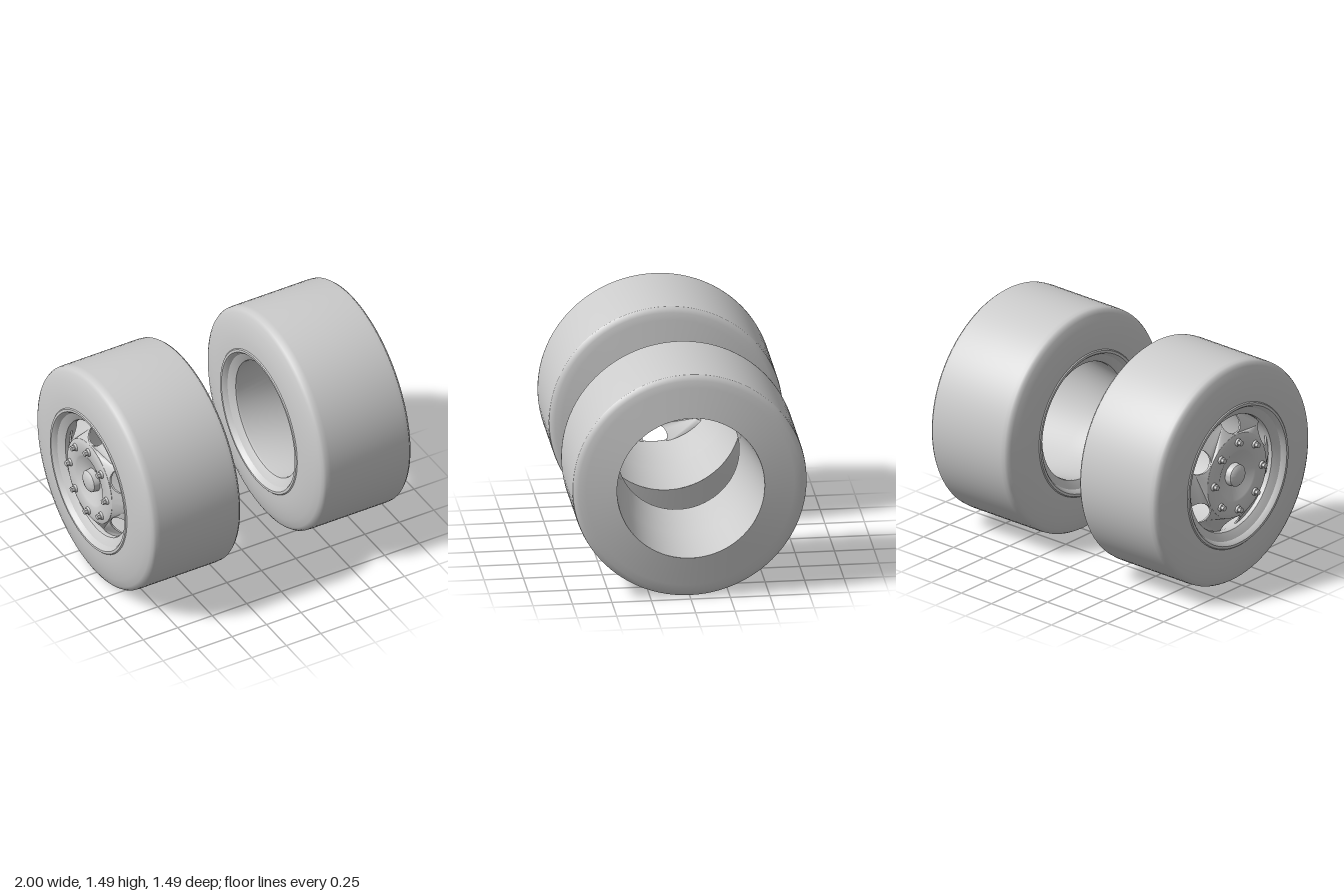
import * as THREE from 'three';
import { toCreasedNormals } from 'three/addons/utils/BufferGeometryUtils.js';

const RADIUS = 0.743;
const grey = new THREE.MeshStandardMaterial({ color: 0xcccccc });
const sheet = new THREE.MeshStandardMaterial({ color: 0xcccccc, side: THREE.DoubleSide });

function add(parent, name, geometry, material = grey) {
  const mesh = new THREE.Mesh(geometry, material);
  mesh.name = name;
  parent.add(mesh);
  return mesh;
}

// Revolves [x, radius] points about the x axis
function spin(points, segments = 72) {
  const g = new THREE.LatheGeometry(points.map(([x, r]) => new THREE.Vector2(r, x)), segments);
  g.rotateZ(-Math.PI / 2);
  return toCreasedNormals(g, 0.55);
}

// Conical ring with six rounded bites along its outer edge
function slottedRing() {
  const inner = 0.28, outer = 0.386, t0 = 1.104, half = 0.187;
  const pts = [];
  for (let k = 0; k < 6; k++) {
    const a = Math.PI / 2 + k * Math.PI / 3;
    for (let i = 0; i <= 16; i++) {
      const t = -t0 - (i / 16) * (2 * Math.PI - 2 * t0);
      const u = 0.35 + 0.062 * Math.cos(t), v = 0.08 * Math.sin(t);
      pts.push(new THREE.Vector2(u * Math.cos(a) - v * Math.sin(a), u * Math.sin(a) + v * Math.cos(a)));
    }
    for (let i = 1; i < 8; i++) {
      const b = a + half + (i / 8) * (Math.PI / 3 - 2 * half);
      pts.push(new THREE.Vector2(outer * Math.cos(b), outer * Math.sin(b)));
    }
  }
  const shape = new THREE.Shape(pts);
  shape.holes.push(new THREE.Path().absarc(0, 0, inner, 0, Math.PI * 2, true));
  const g = new THREE.ExtrudeGeometry(shape, { depth: 0.012, bevelEnabled: false, curveSegments: 72 });
  g.rotateY(Math.PI / 2);
  // Slope the ring back from the hub flange
  const p = g.attributes.position;
  for (let i = 0; i < p.count; i++) {
    const r = Math.hypot(p.getY(i), p.getZ(i));
    p.setX(i, p.getX(i) + 0.012 + (r - inner) * 0.7);
  }
  return toCreasedNormals(g, 0.55);
}

// Tyre and open rim; x = 0 is the outer side
function tyreAndRim() {
  const wheel = new THREE.Group();
  add(wheel, 'tyre', spin([
    [0.004, 0.475], [0.006, 0.53], [0.012, 0.59], [0.026, 0.66], [0.042, 0.71], [0.054, 0.731],
    [0.07, 0.741], [0.1, RADIUS], [0.37, RADIUS], [0.64, RADIUS], [0.67, 0.74],
    [0.685, 0.728], [0.695, 0.705], [0.703, 0.66], [0.735, 0.468],
  ], 96));
  add(wheel, 'rim', spin([
    [0.735, 0.468], [0.4, 0.43], [0.075, 0.386], [0.06, 0.39], [0.045, 0.412], [0.03, 0.44],
    [0.008, 0.452], [-0.002, 0.462], [-0.002, 0.478], [0.006, 0.486],
  ]), sheet);
  return wheel;
}

// Slotted disc with hub, cap and nuts
function wheelDisc() {
  const disc = new THREE.Group();
  disc.name = 'wheelDisc';
  add(disc, 'discSkirt', spin([[0.4, 0.43], [0.25, 0.4], [0.09, 0.385]]), sheet);
  add(disc, 'slottedRing', slottedRing());
  add(disc, 'hubFlange', spin([
    [0.024, 0.282], [0.012, 0.282], [0.006, 0.265], [0.004, 0.25], [0.004, 0.175], [0.01, 0.165],
    [0.045, 0.075],
  ]), sheet);
  add(disc, 'hubCap', spin([
    [0.045, 0], [0.045, 0.075], [0.005, 0.072], [-0.006, 0.06], [-0.013, 0.035], [-0.016, 0],
  ].reverse(), 48));
  for (let i = 0; i < 8; i++) {
    const a = i * Math.PI / 4;
    const nut = new THREE.Group();
    nut.name = 'wheelNut';
    nut.position.set(0, 0.23 * Math.sin(a), 0.23 * Math.cos(a));
    add(nut, 'nutWasher', spin([[-0.009, 0], [-0.009, 0.022], [0.006, 0.027]], 20));
    const head = new THREE.CylinderGeometry(0.018, 0.018, 0.022, 6).rotateZ(Math.PI / 2);
    add(nut, 'nutHead', toCreasedNormals(head, 0.5)).position.x = -0.019;
    disc.add(nut);
  }
  return disc;
}

export function createModel() {
  const model = new THREE.Group();
  model.name = 'wheelPair';

  const outerWheel = tyreAndRim();
  outerWheel.name = 'rightWheel';
  outerWheel.position.set(-0.97, RADIUS, 0);
  outerWheel.add(wheelDisc());

  const openWheel = tyreAndRim();
  openWheel.name = 'leftWheel';
  openWheel.position.set(0.265, RADIUS, 0);

  model.add(outerWheel, openWheel);
  return model;
}
